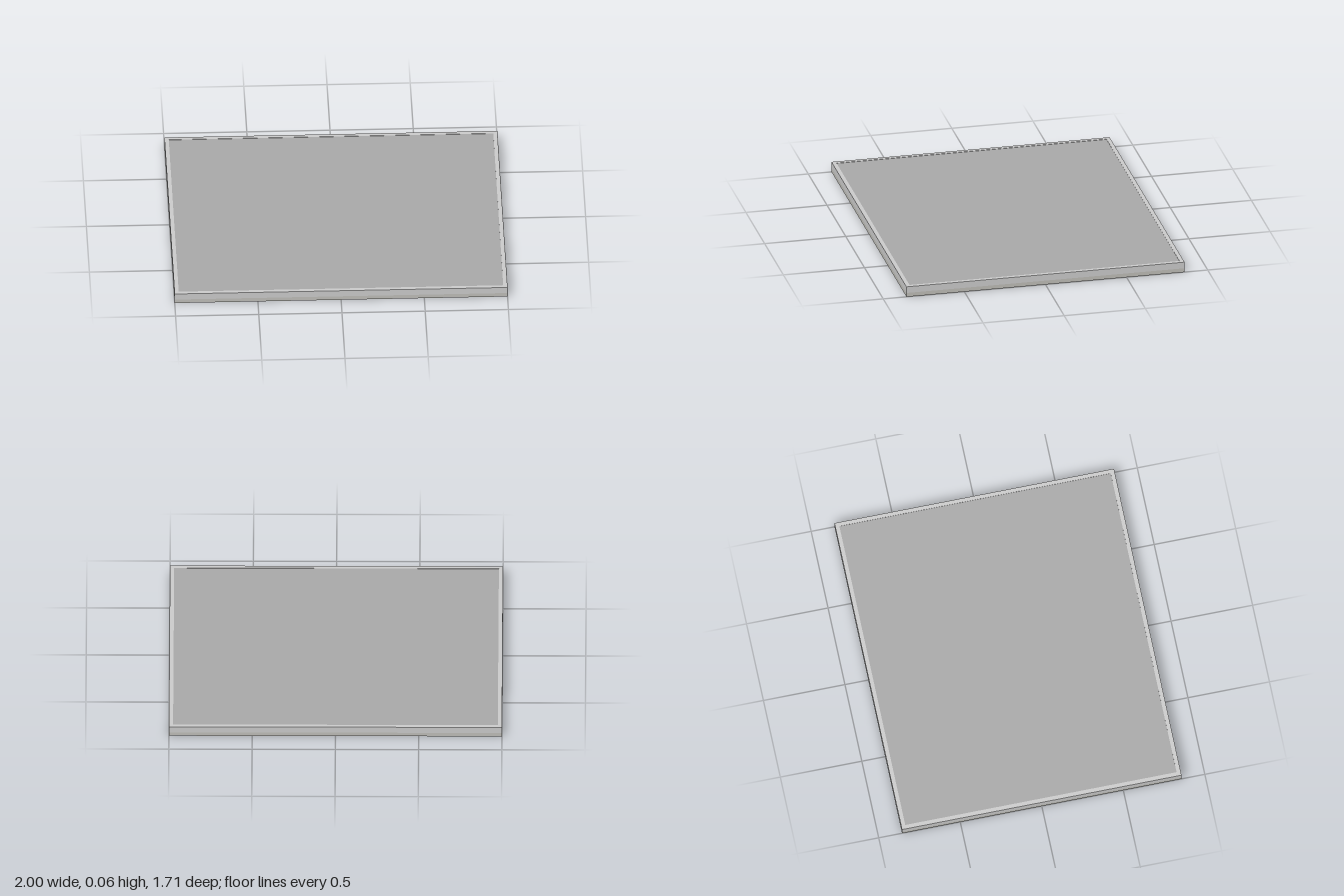
import * as THREE from 'three';

const W = 1, D = 0.857; // half width and half depth

// Sweeps a closed profile of [inset, y] points around the rectangle with mitred corners.
// Order of points: up the outside, inwards, down the inside.
function rectFrame(profile) {
  const signs = [[-1, 1], [1, 1], [1, -1], [-1, -1]];
  const at = (k, [inset, y]) => {
    const [sx, sz] = signs[k % 4];
    return [sx * (W - inset), y, sz * (D - inset)];
  };
  const pos = [];
  for (let k = 0; k < 4; k++) {
    profile.forEach((p, i) => {
      const q = profile[(i + 1) % profile.length];
      const a = at(k, p), b = at(k + 1, p), c = at(k + 1, q), d = at(k, q);
      pos.push(...a, ...b, ...c, ...a, ...c, ...d);
    });
  }
  const g = new THREE.BufferGeometry();
  g.setAttribute('position', new THREE.Float32BufferAttribute(pos, 3));
  g.computeVertexNormals();
  return g;
}

export function createModel() {
  const group = new THREE.Group();
  const metal = new THREE.MeshStandardMaterial({ color: 0xcccccc });
  const lowerMetal = new THREE.MeshStandardMaterial({ color: 0xbfbeb8 });
  const sheet = new THREE.MeshStandardMaterial({ color: 0xa9a9a9 });
  const dark = new THREE.MeshStandardMaterial({ color: 0x808080 });

  const add = (name, geometry, material, x = 0, y = 0, z = 0) => {
    const mesh = new THREE.Mesh(geometry, material);
    mesh.name = name;
    mesh.position.set(x, y, z);
    group.add(mesh);
    return mesh;
  };

  // Rim: stepped on the inside, open towards the underside
  add('upperRim', rectFrame([
    [0, 0.025], [0, 0.065], [0.025, 0.065], [0.025, 0.045], [0.018, 0.045], [0.018, 0.025],
  ]), metal);
  add('lowerRim', rectFrame([
    [0, 0], [0, 0.025], [0.018, 0.025], [0.01, 0.025], [0.01, 0],
  ]), lowerMetal);

  // Thin panel just below the top of the rim
  const top = 0.063, under = 0.052;
  add('panel', new THREE.BoxGeometry(2 * W - 0.045, top - under, 2 * D - 0.045), sheet,
    0, (top + under) / 2, 0);

  // Fittings on the underside
  const below = (name, w, h, d, material, x, z) =>
    add(name, new THREE.BoxGeometry(w, h, d), material, x, under - h / 2, z);

  below('accessPlate', 0.25, 0.006, 0.27, metal, -0.24, -0.14);

  const studs = [
    [0.4, -0.58], [-0.3, -0.58],
    [0.78, 0.02], [0.21, 0.02], [-0.71, 0.04],
    [0.64, 0.55], [-0.13, 0.6],
  ];
  const studShape = new THREE.CylinderGeometry(0.026, 0.026, 0.012, 20);
  for (const [x, z] of studs) add('stud', studShape, sheet, x, under - 0.006, z);

  // Vent made of narrow slats
  for (let i = 0; i < 6; i++) below('ventSlat', 0.13, 0.004, 0.014, dark, 0.3, -0.64 + i * 0.023);

  // Thin marks beside the fittings
  below('slot', 0.13, 0.003, 0.008, dark, 0.79, 0.71);
  below('slot', 0.13, 0.003, 0.008, dark, -0.76, -0.21);

  return group;
}
